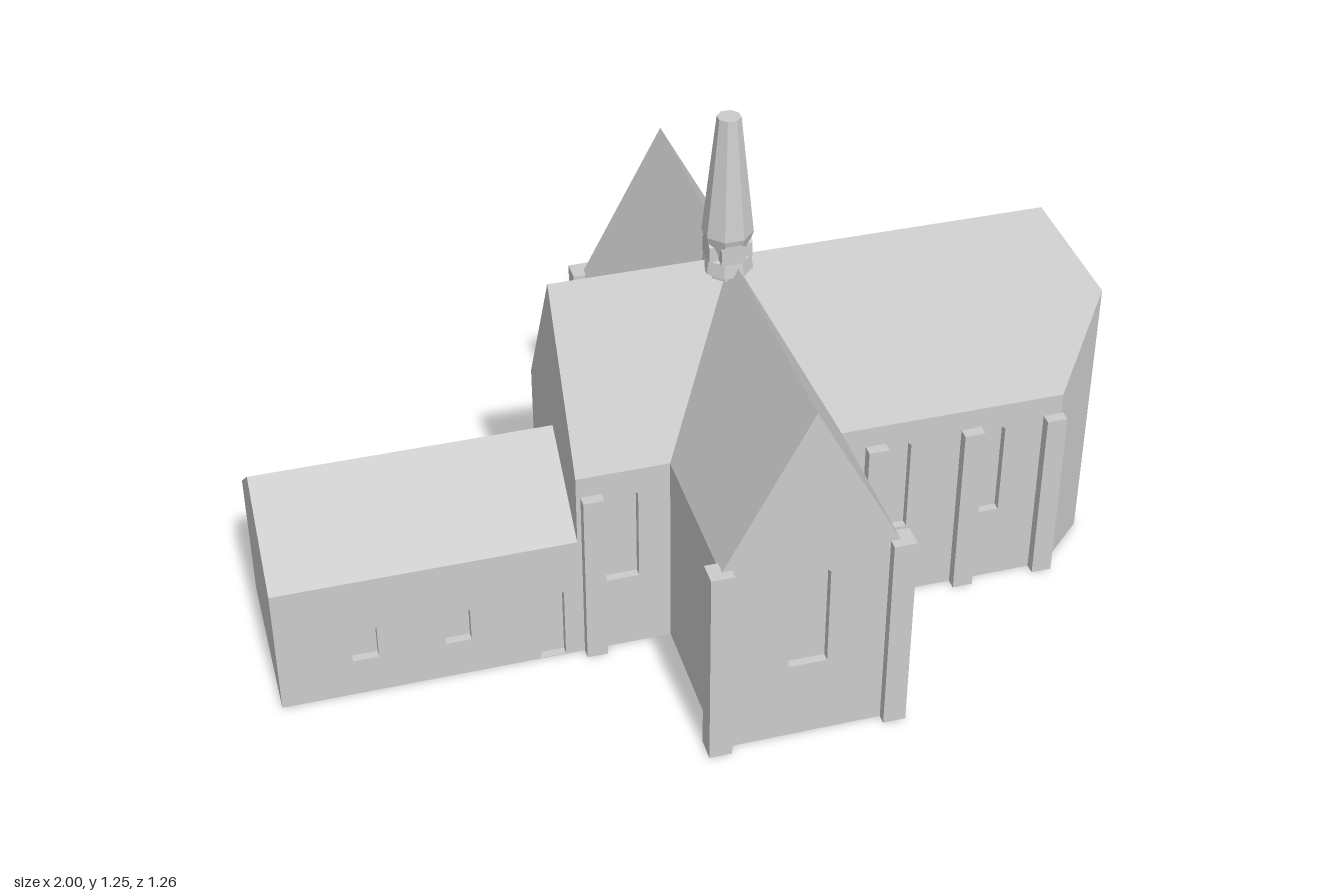
import * as THREE from 'three';
import { ConvexGeometry } from 'three/addons/geometries/ConvexGeometry.js';

const stone = new THREE.MeshStandardMaterial({ color: 0xcccccc });
stone.name = 'pale grey stone';

const D = 0.02;        // depth of window recesses
const ZC = -0.007;     // axis of nave and wing
const HALF = 0.217;    // half width of nave and wing
const EAVE = 0.51, RIDGE = 0.893;

const lerp = THREE.MathUtils.lerp;
const toShape = pts => new THREE.Shape(pts.map(p => new THREE.Vector2(p[0], p[1])));
const extrude = (shape, depth) =>
  new THREE.ExtrudeGeometry(shape, { depth, bevelEnabled: false });

function add(parent, name, geometry, x = 0, y = 0, z = 0, ry = 0) {
  const mesh = new THREE.Mesh(geometry, stone);
  mesh.name = name;
  mesh.position.set(x, y, z);
  mesh.rotation.y = ry;
  parent.add(mesh);
  return mesh;
}

// Gabled cross-section; the walls may be set back under the eaves
function gable(half, eave, ridge, inset = 0) {
  const w = half - inset;
  const pts = [[-w, 0], [w, 0], [w, eave]];
  if (inset) pts.push([half, eave]);
  pts.push([0, ridge]);
  if (inset) pts.push([-half, eave]);
  pts.push([-w, eave]);
  return toShape(pts);
}

// Wall slab pierced by pointed openings [centre, halfWidth, sill, spring, peak]
function wall(shape, openings) {
  for (const [c, w, y0, y1, y2] of openings) {
    shape.holes.push(new THREE.Path([
      [c - w, y0], [c - w, y1], [c, y2], [c + w, y1], [c + w, y0],
    ].map(p => new THREE.Vector2(p[0], p[1]))));
  }
  return extrude(shape, D);
}
const rect = (x0, x1, h) => toShape([[x0, 0], [x1, 0], [x1, h], [x0, h]]);

// Front and back wall of a hall running along x
function sideWalls(parent, name, x0, x1, h, front, back) {
  add(parent, name + 'FrontWall', wall(rect(x0, x1, h), front), 0, 0, HALF - D);
  const mirrored = back.map(([c, ...rest]) => [-c, ...rest]);
  add(parent, name + 'BackWall', wall(rect(-x1, -x0, h), mirrored), 0, 0, D - HALF, Math.PI);
}

function buildNave() {
  const g = new THREE.Group();
  g.name = 'nave';
  const x0 = -0.3, x1 = 0.87;
  add(g, 'naveBody', extrude(gable(HALF, EAVE, RIDGE, D), x1 - x0), x0, 0, 0, Math.PI / 2);
  const windows = [[-0.198, 0.042], [0.457, 0.041], [0.688, 0.043]]
    .map(([c, w]) => [c, w, 0.2, 0.44, 0.48]);
  sideWalls(g, 'nave', x0, x1, EAVE, windows, windows);
  // solid west corners
  add(g, 'westWall', extrude(gable(HALF, EAVE, RIDGE), D), x0, 0, 0, Math.PI / 2);

  // buttresses along both sides
  for (const x of [-0.265, 0.41, 0.645, 0.85])
    for (const s of [-1, 1])
      add(g, 'naveButtress', new THREE.BoxGeometry(0.049, 0.457, 0.05), x, 0.2285, s * 0.218);

  // canted east end with hipped roof
  const endHalf = 0.097, endTop = 0.7, t = (1 - D - x1) / (1 - x1);
  const sideZ = lerp(HALF, endHalf, t), sideY = lerp(EAVE, endTop, t);
  const hipZ = endHalf * t, hipY = lerp(RIDGE, endTop, t);
  const pts = [new THREE.Vector3(x1, RIDGE, 0)];
  for (const s of [-1, 1]) {
    pts.push(new THREE.Vector3(x1, 0, s * HALF), new THREE.Vector3(x1, EAVE, s * HALF),
      new THREE.Vector3(1 - D, 0, s * sideZ), new THREE.Vector3(1 - D, sideY, s * sideZ),
      new THREE.Vector3(1 - D, hipY, s * hipZ));
  }
  add(g, 'apseBody', new ConvexGeometry(pts));

  // end wall: its rear outline widens to meet the canted body
  const e = endHalf, f = endHalf - 0.0006;
  const endWall = wall(
    toShape([[-e, 0], [e, 0], [e, endTop - 0.001], [f, endTop], [-f, endTop], [-e, endTop - 0.001]]),
    [[-0.05, 0.033, 0.2, 0.445, 0.475], [0.05, 0.033, 0.2, 0.445, 0.475]]);
  const p = endWall.attributes.position;
  for (let i = 0; i < p.count; i++) {
    const x = p.getX(i), y = p.getY(i);
    if (p.getZ(i) > D / 2 || Math.abs(x) < 0.09) continue;
    if (y > endTop - 0.0005) p.setXY(i, Math.sign(x) * hipZ, hipY);
    else p.setXY(i, Math.sign(x) * sideZ, y > 0.1 ? sideY : 0);
  }
  const flat = endWall.index ? endWall.toNonIndexed() : endWall;
  flat.computeVertexNormals();
  add(g, 'apseEndWall', flat, 1 - D, 0, 0, Math.PI / 2);
  g.position.z = ZC;
  return g;
}

function buildWing() {
  const g = new THREE.Group();
  g.name = 'lowWing';
  const x0 = -1, x1 = -0.29, eave = 0.33, ridge = 0.505;
  add(g, 'wingBody', extrude(gable(HALF, eave, ridge, D), x1 - x0), x0, 0, 0, Math.PI / 2);
  const windows = [-0.8, -0.585, -0.365].map(c => [c, 0.03, 0.1, 0.187, 0.22]);
  const door = [-0.365, 0.03, 0.002, 0.187, 0.22];
  sideWalls(g, 'wing', x0, x1, eave, [windows[0], windows[1], door], windows);
  g.position.z = ZC;
  return g;
}

function buildTransept() {
  const g = new THREE.Group();
  g.name = 'transept';
  const half = 0.203, z0 = -0.598, z1 = 0.607;
  add(g, 'transeptBody', extrude(gable(half, EAVE, RIDGE), z1 - z0 - 2 * D), 0, 0, z0 + D);
  const gableWall = wall(gable(half, EAVE, RIDGE), [[0, 0.045, 0.205, 0.46, 0.505]]);
  add(g, 'frontGableWall', gableWall, 0, 0, z1 - D);
  add(g, 'backGableWall', gableWall, 0, 0, z0 + D, Math.PI);
  for (const sx of [-1, 1])
    for (const sz of [-1, 1])
      add(g, 'cornerButtress', new THREE.BoxGeometry(0.053, 0.515, 0.054),
        sx * 0.205, 0.2575, sz * 0.603);
  g.position.x = 0.122;
  return g;
}

function buildSpire() {
  const g = new THREE.Group();
  g.name = 'spire';
  // eight-sided profile: foot, collar, lantern, flared eaves, tapering top
  const k = 1 / Math.cos(Math.PI / 8);
  const profile = [[0, 0.855], [0.04, 0.855], [0.04, 0.866], [0.054, 0.872], [0.05, 0.905],
    [0.04, 0.908], [0.042, 0.925], [0.054, 0.967], [0.025, 1.255], [0, 1.255]]
    .map(([r, y]) => new THREE.Vector2(r * k, y));
  const body = new THREE.LatheGeometry(profile, 8, Math.PI / 8).toNonIndexed();
  body.computeVertexNormals();
  add(g, 'spireBody', body);
  // small gablets on four sides
  const gablet = extrude(toShape([[-0.028, 0.905], [0.028, 0.905], [0.028, 0.942],
    [0, 0.967], [-0.028, 0.942]]), 0.02);
  for (let i = 0; i < 4; i++) {
    const a = i * Math.PI / 2;
    add(g, 'gablet', gablet, Math.sin(a) * 0.03, 0, Math.cos(a) * 0.03, a);
  }
  g.position.set(0.112, 0, -0.002);
  return g;
}

export function createModel() {
  const model = new THREE.Group();
  model.name = 'church';
  model.add(buildNave(), buildWing(), buildTransept(), buildSpire());
  return model;
}
